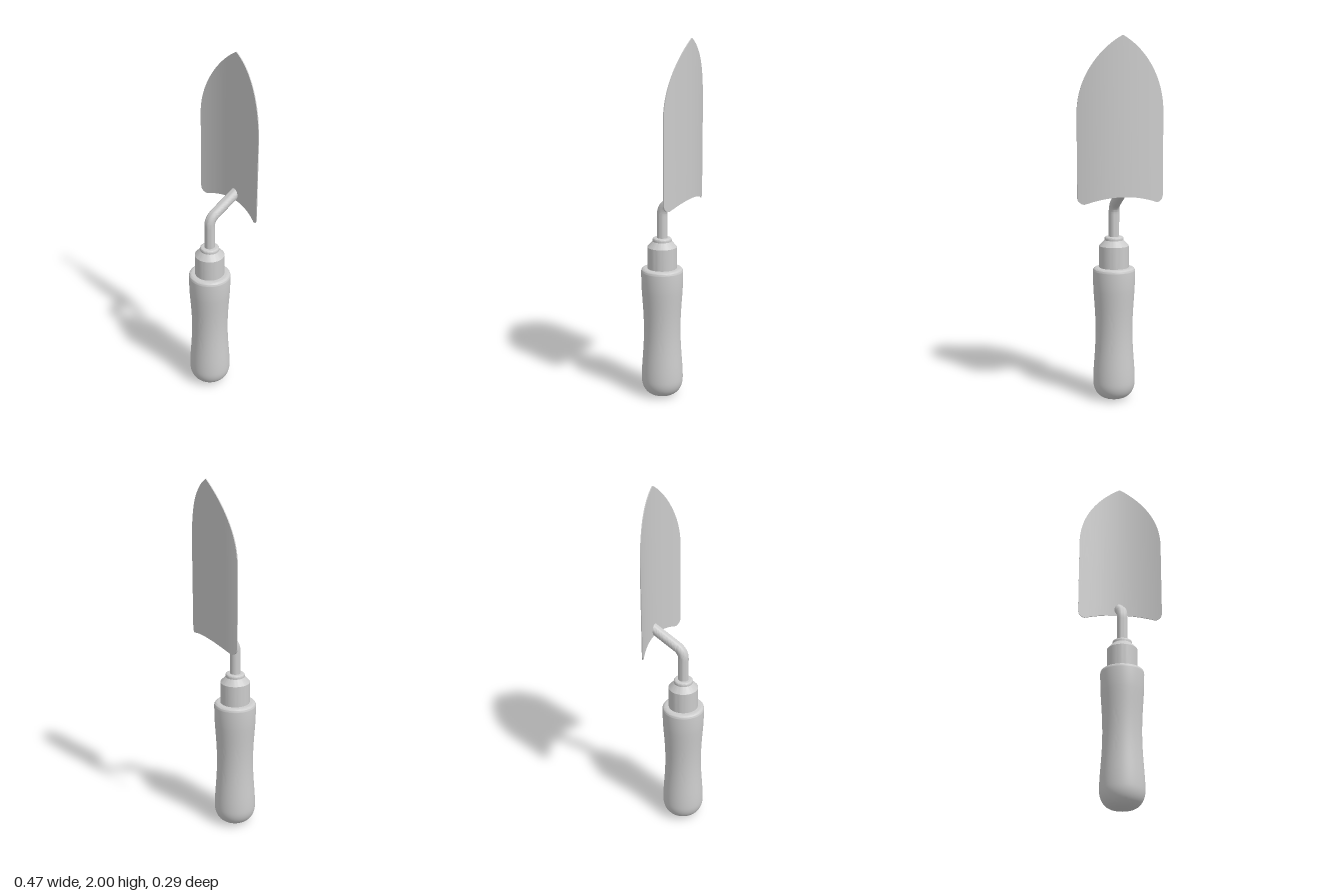
import * as THREE from 'three';
import { toCreasedNormals } from 'three/addons/utils/BufferGeometryUtils.js';

const material = new THREE.MeshStandardMaterial({ color: 0xcccccc });
const V2 = (x, y) => new THREE.Vector2(x, y);
const V3 = (x, y, z) => new THREE.Vector3(x, y, z);
const AXIS_Z = 0.028; // handle axis

function part(name, geometry, crease = 0.6) {
  const mesh = new THREE.Mesh(toCreasedNormals(geometry, crease), material);
  mesh.name = name;
  return mesh;
}

function turned(name, points) {
  const mesh = part(name, new THREE.LatheGeometry(points, 64));
  mesh.position.z = AXIS_Z;
  return mesh;
}

// Wooden grip: domed butt, slim waist, rounded shoulder
function gripProfile() {
  const path = new THREE.Path();
  path.moveTo(0, 0);
  path.lineTo(0.035, 0);
  path.bezierCurveTo(0.085, 0.003, 0.117, 0.04, 0.117, 0.1);
  path.bezierCurveTo(0.117, 0.18, 0.103, 0.27, 0.103, 0.39);
  path.bezierCurveTo(0.103, 0.49, 0.111, 0.56, 0.115, 0.635);
  path.lineTo(0.117, 0.725);
  path.quadraticCurveTo(0.117, 0.748, 0.094, 0.748);
  path.lineTo(0, 0.748);
  return path.getPoints(14);
}

// Metal ferrule with chamfer and small rounded collar
function ferruleProfile() {
  const path = new THREE.Path();
  path.moveTo(0, 0.74);
  path.lineTo(0.082, 0.74);
  path.lineTo(0.082, 0.868);
  path.lineTo(0.053, 0.9);
  path.lineTo(0.053, 0.908);
  path.quadraticCurveTo(0.053, 0.92, 0.041, 0.92);
  path.lineTo(0, 0.92);
  return path.getPoints(6);
}

// Cranked rod, cut flush where it meets the blade
function rodGeometry() {
  const slope = 0.58, cutZ = -0.144;
  const along = (z) => V3(0, 1.093 + (AXIS_Z - z) * slope, z);
  const path = new THREE.CurvePath();
  const low = V3(0, 1.05, AXIS_Z), high = along(-0.012);
  path.add(new THREE.LineCurve3(V3(0, 0.88, AXIS_Z), low));
  path.add(new THREE.QuadraticBezierCurve3(low, along(AXIS_Z), high));
  path.add(new THREE.LineCurve3(high, along(-0.18)));
  const geometry = new THREE.TubeGeometry(path, 60, 0.029, 24);
  const p = geometry.attributes.position;
  for (let i = 0; i < p.count; i++) {
    const over = cutZ - p.getZ(i);
    if (over > 0) p.setXYZ(i, p.getX(i), p.getY(i) - over * slope, cutZ);
  }
  return geometry;
}

// Curved blade: vertical columns between the pointed top and arched bottom
function bladeGeometry() {
  const half = 0.237, R = 0.66, thickness = 0.005, n = 36;
  const edge = new THREE.CubicBezierCurve(V2(half, 1.6), V2(half, 1.78), V2(0.13, 1.93), V2(0, 2));
  const bottom = (x) => {
    const c = 0.2, r = half - c;
    if (x <= c) return 1.157 - 0.037 * (x / c) ** 2;
    return 1.12 + r - Math.sqrt(Math.max(0, r * r - (x - c) ** 2));
  };
  const positions = [], index = [];
  for (let i = -n; i <= n; i++) {
    const e = edge.getPoint(1 - Math.abs(i) / n);
    const x = Math.sign(i) * e.x;
    const back = -0.147 + R - Math.sqrt(R * R - x * x), front = back + thickness;
    const low = bottom(e.x);
    positions.push(x, low, front, x, e.y, front, x, e.y, back, x, low, back);
  }
  for (let i = 0; i < 2 * n; i++) {
    for (let k = 0; k < 4; k++) {
      const a = i * 4 + k, b = i * 4 + (k + 1) % 4;
      index.push(a, a + 4, b, b, a + 4, b + 4);
    }
  }
  const last = 8 * n;
  index.push(0, 1, 2, 0, 2, 3, last, last + 2, last + 1, last, last + 3, last + 2);
  const geometry = new THREE.BufferGeometry();
  geometry.setAttribute('position', new THREE.Float32BufferAttribute(positions, 3));
  geometry.setIndex(index);
  return geometry;
}

export function createModel() {
  const trowel = new THREE.Group();
  trowel.name = 'gardenTrowel';
  trowel.add(
    turned('grip', gripProfile()),
    turned('ferrule', ferruleProfile()),
    part('rod', rodGeometry()),
    part('blade', bladeGeometry())
  );
  return trowel;
}
